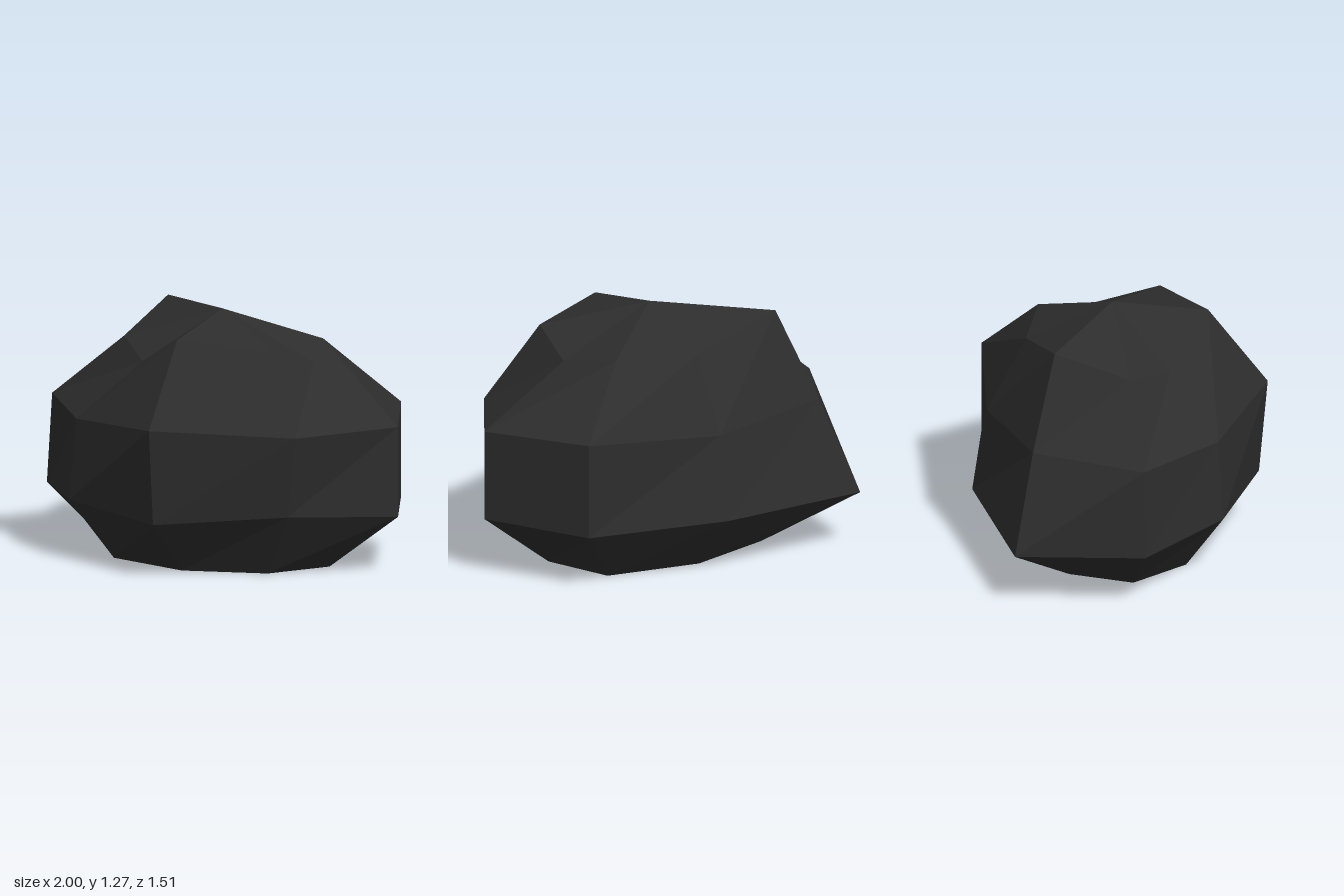
import * as THREE from 'three';

// Each ring runs left to right around the front, then back: eight [x, y, z] corners.
const rings = [
  // crown
  [[-0.56, 1.08, -0.04], [-0.33, 1.01, 0.2], [0, 1.19, 0.45], [0.45, 1.14, 0.28],
    [0.52, 1.04, -0.04], [0.41, 1.1, -0.35], [0, 1.1, -0.48], [-0.51, 1.23, -0.42]],
  // shoulder
  [[-0.97, 0.75, -0.04], [-0.6, 0.725, 0.4], [0, 0.775, 0.755], [0.675, 0.745, 0.45],
    [1, 0.75, -0.04], [0.73, 0.765, -0.585], [0, 0.72, -0.68], [-0.68, 0.77, -0.56]],
  // belly
  [[-1, 0.29, -0.04], [-0.63, 0.31, 0.42], [0, 0.285, 0.71], [0.6, 0.325, 0.4],
    [1, 0.29, -0.04], [0.73, 0.28, -0.585], [0, 0.29, -0.755], [-0.85, 0.28, -0.68]],
  // foot
  [[-0.64, 0, -0.04], [-0.46, 0, 0.26], [0, 0, 0.4], [0.42, 0, 0.27],
    [0.61, 0, -0.04], [0.5, 0, -0.41], [0, 0, -0.49], [-0.48, 0, -0.34]],
];
const apex = [0, 1.27, -0.04];
const baseCentre = [0, 0, -0.04];

// Joins the rings with triangles and closes both ends; unshared corners keep facets flat.
function facetedLoft(rings, top, bottom) {
  const points = [];
  const n = rings[0].length;
  const last = rings[rings.length - 1];
  for (let i = 0; i < n; i++) {
    const j = (i + 1) % n;
    points.push(top, rings[0][i], rings[0][j]);
    for (let r = 0; r < rings.length - 1; r++) {
      const upper = rings[r], lower = rings[r + 1];
      points.push(lower[i], lower[j], upper[j], lower[i], upper[j], upper[i]);
    }
    points.push(bottom, last[j], last[i]);
  }
  const geometry = new THREE.BufferGeometry();
  geometry.setAttribute('position', new THREE.Float32BufferAttribute(points.flat(), 3));
  geometry.computeVertexNormals();
  return geometry;
}

export function createModel() {
  const group = new THREE.Group();
  group.name = 'rock';
  const stone = new THREE.MeshStandardMaterial({ color: 0x2d2d2d, flatShading: true });
  stone.name = 'dark stone';
  const boulder = new THREE.Mesh(facetedLoft(rings, apex, baseCentre), stone);
  boulder.name = 'boulder';
  group.add(boulder);
  return group;
}
